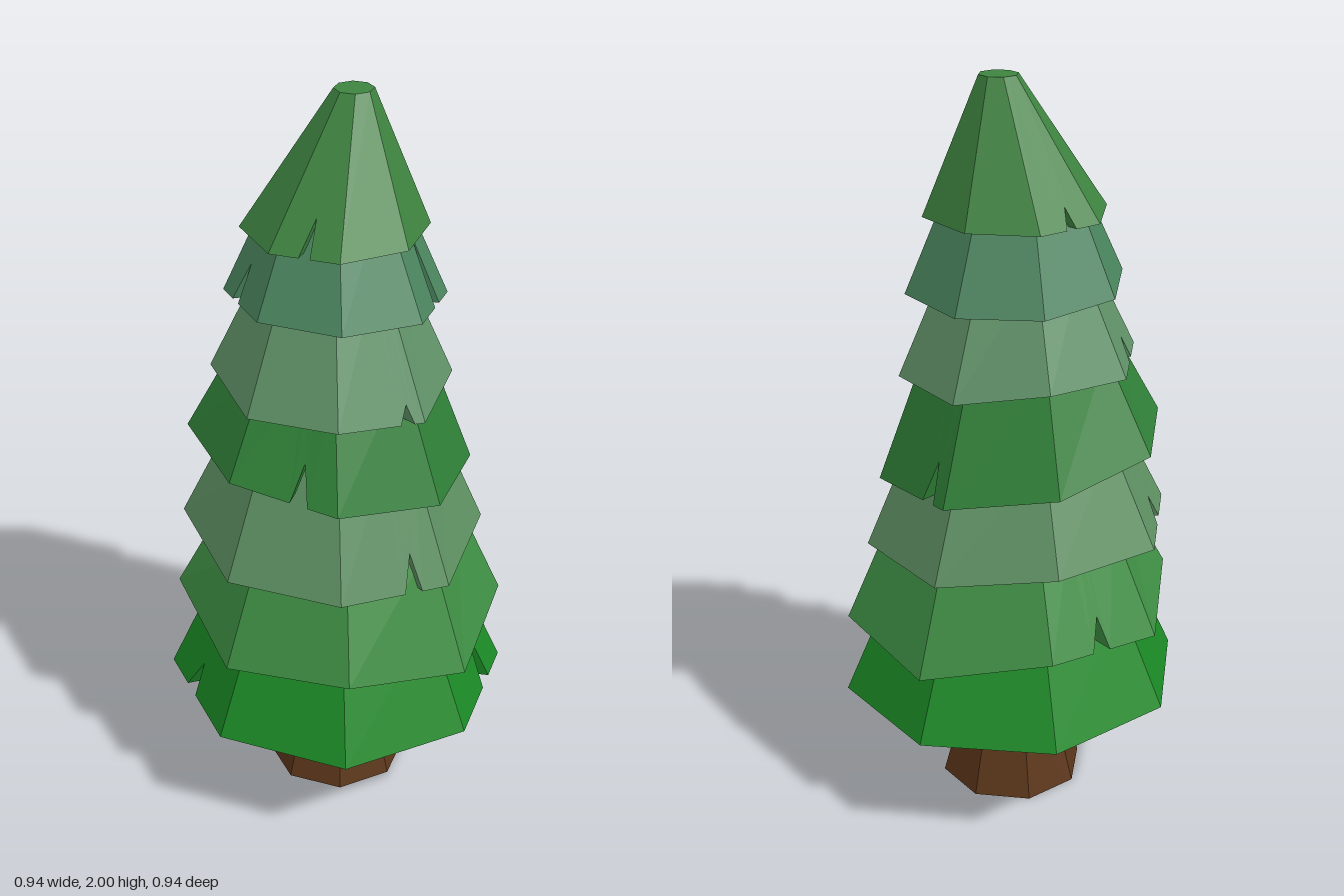
import * as THREE from 'three';

const SIDES = 8;
const NOTCH_WIDTH = 0.16;

// Rim height y, radius r, centre x and z, rim tilt along x and z, zigzag of the corners.
// Notches: [position round the rim in faces, height up the slope]
const TIERS = [
  { color: 0x1b8a26, y: 0.325, r: 0.47, tiltX: -0.01, notches: [[2.52, 0.3], [7.3, 0.55]] },
  { color: 0x3e8e43, y: 0.555, r: 0.45, z: -0.015, tiltX: -0.03, tiltZ: 0.01, zigzag: 0.025, notches: [[4.45, 0.3]] },
  { color: 0x5e9062, y: 0.793, r: 0.41, x: -0.03, z: -0.02, tiltX: -0.033, zigzag: 0.01, notches: [[0.25, 0.3], [3.4, 0.25]] },
  { color: 0x2f8037, y: 1.03, r: 0.38, x: -0.04, z: -0.02, tiltX: -0.045, tiltZ: 0.04, notches: [[1.28, 0.35], [6.15, 0.3]] },
  { color: 0x609268, y: 1.25, r: 0.315, x: -0.025, z: -0.01, tiltX: -0.025, zigzag: 0.01, notches: [[0.12, 0.15], [3.4, 0.22]] },
  { color: 0x4b865f, y: 1.475, r: 0.285, x: -0.025, z: -0.025, tiltZ: 0.015, notches: [[2.55, 0.35], [7.35, 0.65]] },
];

// Pointed crown with a small flat tip
const CROWN = {
  color: 0x3e8440, y: 1.657, r: 0.238, x: -0.023, z: -0.02, notches: [[1.42, 0.25], [4.4, 0.15]],
  top: { y: 2, r: 0.05, x: 0, z: -0.062 },
};

// Point on an octagonal ring; position counts faces from +x towards +z
function ringPoint(position, { y, r, x = 0, z = 0, tiltX = 0, tiltZ = 0, zigzag = 0 }) {
  const corner = (i) => {
    const a = (i / SIDES) * Math.PI * 2;
    const cos = Math.cos(a), sin = Math.sin(a);
    const height = y + tiltX * cos + tiltZ * sin + (i % 2 ? zigzag : -zigzag);
    return new THREE.Vector3(x + cos * r, height, z + sin * r);
  };
  const i = Math.floor(position);
  return corner(i).lerp(corner(i + 1), position - i);
}

// Hollow skirt, lofted from the inner ceiling, round the rim, to the top cap
function tierGeometry(tier) {
  const { y, r, x = 0, z = 0, notches } = tier;
  const top = tier.top ?? { y: y + 0.3, r: r - 0.135, x, z };
  const innerRim = { ...tier, r: r * 0.86 };
  const ceiling = { ...top, y: top.y - 0.05, r: Math.max(top.r - 0.06, 0.02) };

  // Columns at the corners, plus three for each notch
  const stops = Array.from({ length: SIDES }, (_, i) => [i, 0]);
  for (const [at, height] of notches) {
    stops.push([at, 0], [at + NOTCH_WIDTH * 0.3, height], [at + NOTCH_WIDTH, 0]);
  }
  stops.sort((a, b) => a[0] - b[0]);

  const columns = stops.map(([at, lift]) => {
    const outerTop = ringPoint(at, top);
    const innerTop = ringPoint(at, ceiling);
    return [
      new THREE.Vector3(top.x, ceiling.y, top.z),
      innerTop,
      ringPoint(at, innerRim).lerp(innerTop, lift),
      ringPoint(at, tier).lerp(outerTop, lift),
      outerTop,
      new THREE.Vector3(top.x, top.y, top.z),
    ];
  });

  const points = [];
  columns.forEach((a, i) => {
    const b = columns[(i + 1) % columns.length];
    for (let k = 0; k < a.length - 1; k++) {
      if (k > 0) points.push(a[k], a[k + 1], b[k]);
      if (k < a.length - 2) points.push(a[k + 1], b[k + 1], b[k]);
    }
  });
  const geometry = new THREE.BufferGeometry().setFromPoints(points);
  geometry.computeVertexNormals();
  return geometry;
}

function part(name, geometry, color) {
  const mesh = new THREE.Mesh(geometry, new THREE.MeshStandardMaterial({ color, flatShading: true }));
  mesh.name = name;
  return mesh;
}

export function createModel() {
  const tree = new THREE.Group();
  tree.name = 'pineTree';

  // Flared trunk
  const profile = [[0, 0], [0.2, 0], [0.145, 0.2], [0.125, 0.36], [0.12, 0.57], [0, 0.57]]
    .map(([x, y]) => new THREE.Vector2(x, y));
  tree.add(part('trunk', new THREE.LatheGeometry(profile, SIDES), 0x5c361a));

  // Stacked foliage
  TIERS.forEach((tier, i) => tree.add(part(`foliageTier${i + 1}`, tierGeometry(tier), tier.color)));
  tree.add(part('crown', tierGeometry(CROWN), CROWN.color));

  return tree;
}
